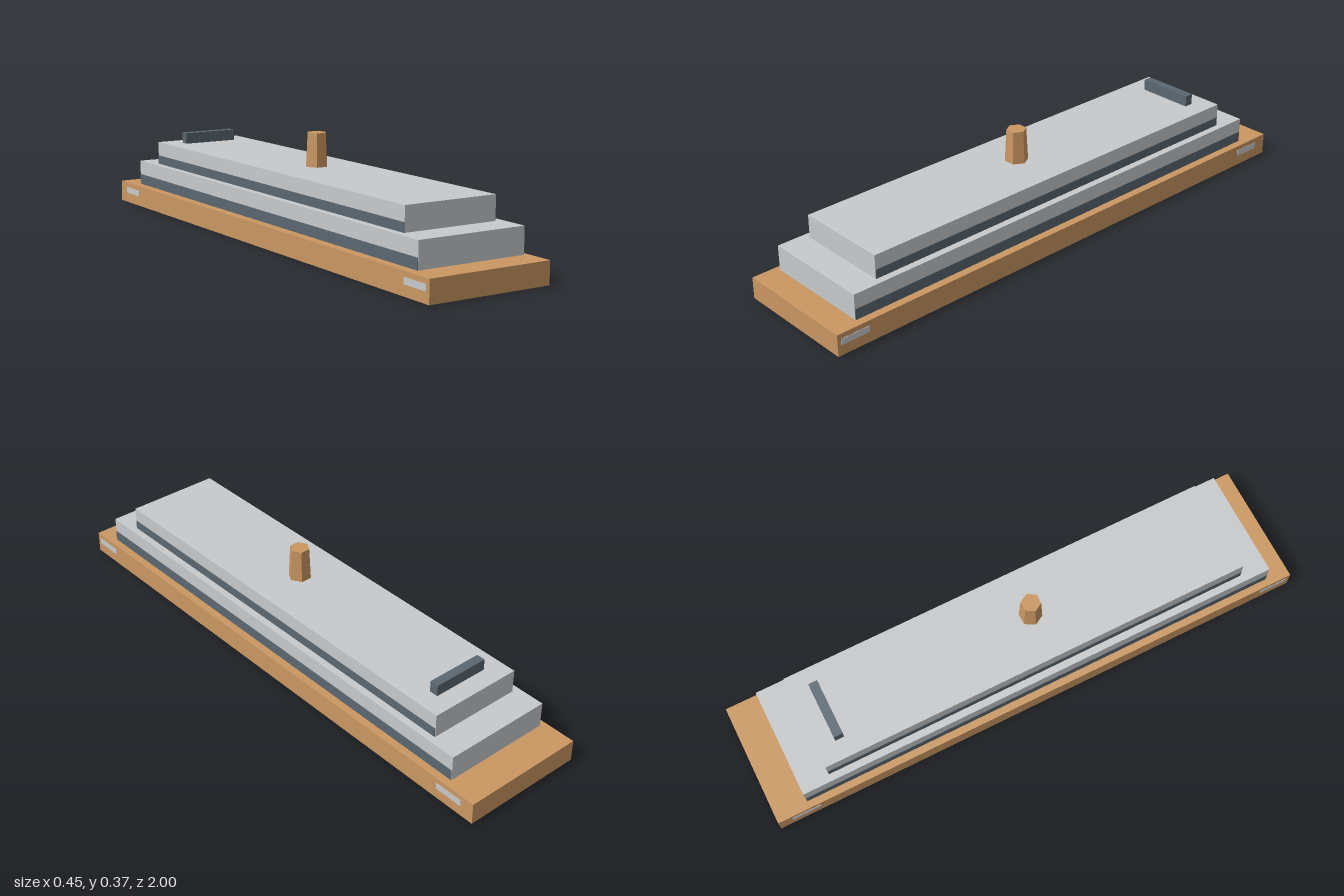
import * as THREE from 'three';

const wood = new THREE.MeshStandardMaterial({ color: 0xca9762, side: THREE.DoubleSide });
wood.name = 'wood';
const paleGrey = new THREE.MeshStandardMaterial({ color: 0xc7c9cb, side: THREE.DoubleSide });
paleGrey.name = 'paleGrey';
const slate = new THREE.MeshStandardMaterial({ color: 0x5a6771, side: THREE.DoubleSide });
slate.name = 'slate';

// Box shell without a bottom, given by half width, y range and z range
function shell(name, material, halfWidth, y0, y1, z0, z1) {
  const geometry = new THREE.BoxGeometry(halfWidth * 2, y1 - y0, z1 - z0);
  const index = Array.from(geometry.index.array);
  index.splice(18, 6); // drop the bottom face
  geometry.setIndex(index);
  geometry.clearGroups();
  geometry.translate(0, (y0 + y1) / 2, (z0 + z1) / 2);
  const mesh = new THREE.Mesh(geometry, material);
  mesh.name = name;
  return mesh;
}

export function createModel() {
  const model = new THREE.Group();
  model.name = 'ship';

  // Hull, hollow from below
  model.add(shell('hull', wood, 0.225, 0, 0.077, -1, 1));

  // Cross bars that show as small slots on both hull sides
  model.add(shell('frontHullSlots', paleGrey, 0.2265, 0.037, 0.059, 0.88, 0.987));
  model.add(shell('rearHullSlots', paleGrey, 0.2265, 0.037, 0.059, -0.95, -0.845));

  // Two decks, each with a dark window band along its sides
  model.add(shell('lowerDeck', paleGrey, 0.199, 0.08, 0.17, -0.882, 0.912));
  model.add(shell('lowerWindowBand', slate, 0.2005, 0.08, 0.118, -0.88, 0.911));
  model.add(shell('upperDeck', paleGrey, 0.172, 0.17, 0.253, -0.778, 0.808));
  model.add(shell('upperWindowBand', slate, 0.1738, 0.17, 0.202, -0.776, 0.807));

  // Low bar near the stern
  model.add(shell('sternBar', slate, 0.103, 0.253, 0.293, -0.711, -0.679));

  // Six-sided tapered funnel, corners pointing left and right
  const funnelGeometry = new THREE.CylinderGeometry(0.0345, 0.0405, 0.116, 6, 1, false, Math.PI / 6).toNonIndexed();
  funnelGeometry.computeVertexNormals();
  const funnel = new THREE.Mesh(funnelGeometry, wood);
  funnel.name = 'funnel';
  funnel.position.set(0, 0.315, 0.068);
  model.add(funnel);

  return model;
}
